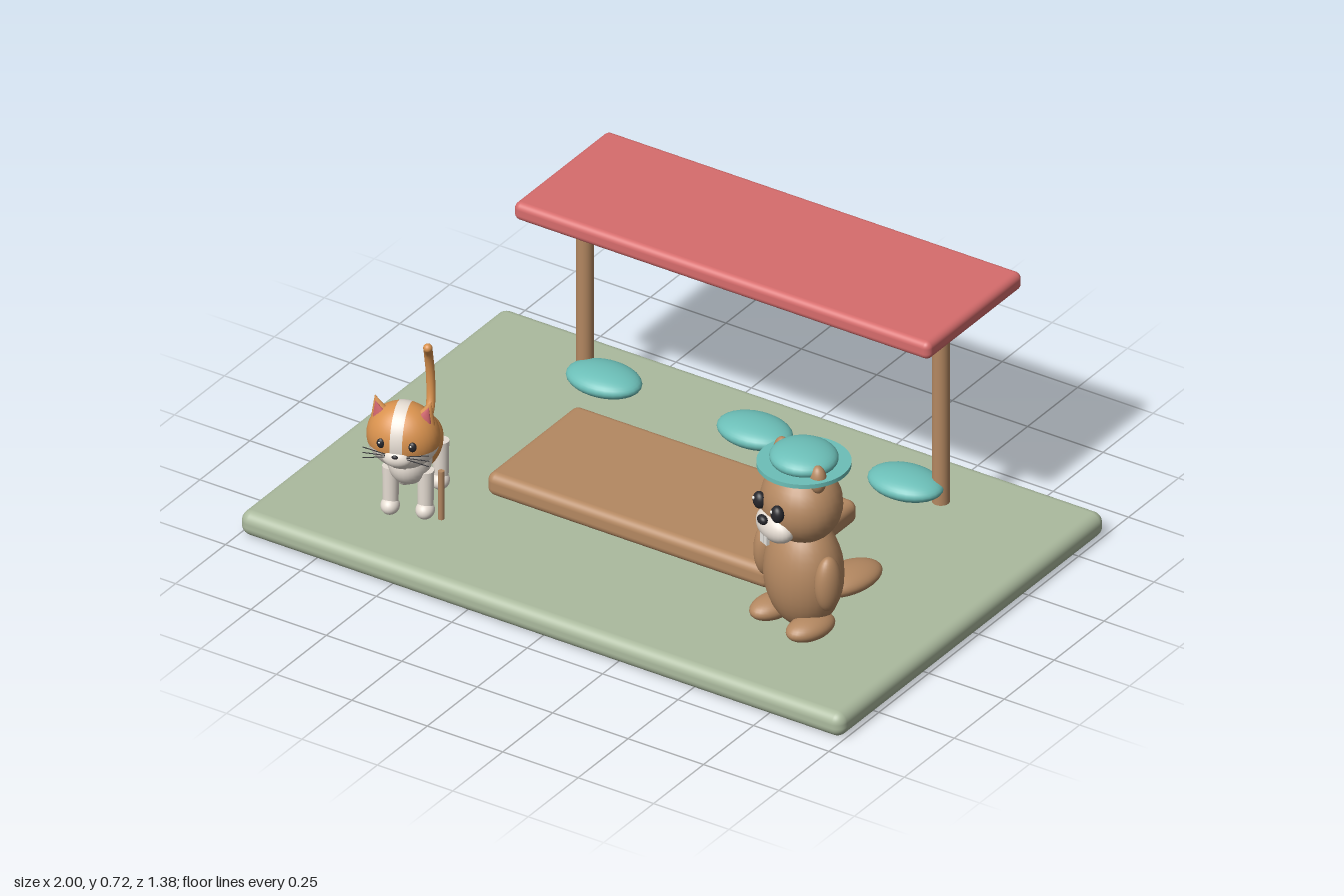
import * as THREE from 'three';
import { RoundedBoxGeometry } from 'three/addons/geometries/RoundedBoxGeometry.js';

const mat = (name, color) => {
  const m = new THREE.MeshStandardMaterial({ color });
  m.name = name;
  return m;
};

export function createModel() {
  const sage = mat('sage', 0xabba9e), red = mat('red', 0xd66c6c), teal = mat('teal', 0x6cbfb8);
  const brown = mat('brown', 0xb48861), orange = mat('orange', 0xd9924e), cream = mat('cream', 0xe6ddd3);
  const dark = mat('dark', 0x26262b), pink = mat('pink', 0xd0646c), white = mat('white', 0xf8f6f0);

  const model = new THREE.Group();
  model.name = 'stage';

  // Helpers
  const add = (parent, name, geo, material, x = 0, y = 0, z = 0) => {
    const m = new THREE.Mesh(geo, material);
    m.name = name;
    m.position.set(x, y, z);
    parent.add(m);
    return m;
  };
  const ball = (parent, name, material, [x, y, z], [rx, ry, rz]) =>
    add(parent, name, new THREE.SphereGeometry(1, 28, 20).scale(rx, ry, rz), material, x, y, z);
  const group = (parent, name, x, y, z, yaw) => {
    const g = new THREE.Group();
    g.name = name;
    g.position.set(x, y, z);
    g.rotation.y = yaw;
    parent.add(g);
    return g;
  };

  // Ground slab, low platform and canopy
  add(model, 'groundSlab', new RoundedBoxGeometry(2, 0.076, 1.33, 5, 0.032), sage, 0, 0.038, 0.025);
  add(model, 'platform', new RoundedBoxGeometry(0.94, 0.072, 0.455, 5, 0.026), brown, 0, 0.121, 0.025);
  add(model, 'canopy', new RoundedBoxGeometry(1.38, 0.056, 0.475, 5, 0.02), red, 0, 0.692, -0.455);
  for (const s of [-1, 1])
    add(model, 'post', new THREE.CylinderGeometry(0.025, 0.025, 0.575, 20), brown, s * 0.59, 0.3625, -0.43);
  for (const x of [-0.5, 0, 0.5])
    ball(model, 'cushion', teal, [x, 0.128, -0.39], [0.115, 0.037, 0.082]);
  add(model, 'stick', new THREE.CylinderGeometry(0.009, 0.009, 0.155, 10), brown, -0.51, 0.153, 0.41);

  // Seated animal with a hat
  const beaver = group(model, 'beaver', 0.645, 0, 0.34, -0.27);
  ball(beaver, 'body', brown, [0, 0.262, 0], [0.122, 0.172, 0.106]);
  ball(beaver, 'tail', brown, [0, 0.172, -0.16], [0.068, 0.036, 0.115]);
  for (const s of [-1, 1]) {
    ball(beaver, 'arm', brown, [s * 0.128, 0.283, 0.022], [0.034, 0.085, 0.042]);
    ball(beaver, 'foot', brown, [s * 0.077, 0.129, 0.042], [0.05, 0.034, 0.08]);
  }

  // Its head turns a little further than its body
  const head = group(beaver, 'head', 0, 0.49, 0.008, -0.15);
  ball(head, 'skull', brown, [0, 0, 0], [0.125, 0.118, 0.112]);
  ball(head, 'muzzle', cream, [0, -0.052, 0.085], [0.074, 0.047, 0.045]);
  ball(head, 'nose', dark, [0, -0.022, 0.128], [0.019, 0.014, 0.013]);
  for (const s of [-1, 1]) {
    ball(head, 'ear', brown, [s * 0.092, 0.115, 0.005], [0.027, 0.043, 0.024]);
    ball(head, 'eye', dark, [s * 0.046, 0.012, 0.108], [0.022, 0.026, 0.018]);
    ball(head, 'eyeGlint', white, [s * 0.046 - 0.006, 0.021, 0.124], [0.005, 0.005, 0.004]);
    add(head, 'tooth', new THREE.BoxGeometry(0.014, 0.03, 0.01), white, s * 0.009, -0.085, 0.12);
  }
  add(head, 'hatBrim', new THREE.CylinderGeometry(0.132, 0.132, 0.013, 40), teal, 0, 0.119, -0.008);
  ball(head, 'hatCrown', teal, [0, 0.138, -0.008], [0.1, 0.038, 0.095]);

  // Standing cat
  const cat = group(model, 'cat', -0.625, 0, 0.365, 0.33);
  ball(cat, 'body', orange, [0, 0.242, -0.03], [0.066, 0.066, 0.118]);
  ball(cat, 'chest', cream, [0, 0.245, 0.062], [0.062, 0.07, 0.075]);
  for (const s of [-1, 1]) for (const z of [-0.085, 0.08]) {
    add(cat, 'leg', new THREE.CylinderGeometry(0.024, 0.022, 0.125, 16), cream, s * 0.05, 0.165, z);
    ball(cat, 'paw', cream, [s * 0.05, 0.102, z + 0.006], [0.027, 0.026, 0.031]);
  }
  const tailPath = new THREE.CatmullRomCurve3([
    [0, 0.25, -0.125], [0, 0.29, -0.165], [-0.004, 0.37, -0.18], [-0.006, 0.45, -0.165], [0, 0.487, -0.135],
  ].map((p) => new THREE.Vector3(...p)));
  add(cat, 'tail', new THREE.TubeGeometry(tailPath, 28, 0.013, 12), orange);
  ball(cat, 'tailTip', orange, [0, 0.487, -0.135], [0.013, 0.013, 0.013]);

  // Two-tone head with a pale stripe over the crown
  const face = group(cat, 'catHead', 0, 0.365, 0.132, 0);
  const cut = 1.8, rim = [0.104, 0.099, 0.085];
  add(face, 'upperHead', new THREE.SphereGeometry(1, 32, 20, 0, Math.PI * 2, 0, cut).scale(...rim), orange);
  add(face, 'lowerHead', new THREE.SphereGeometry(1, 32, 12, 0, Math.PI * 2, cut, Math.PI - cut).scale(...rim), cream);
  add(face, 'stripe', new THREE.SphereGeometry(1.015, 48, 6, 0, Math.PI * 2, Math.PI / 2 - 0.17, 0.34)
    .rotateZ(Math.PI / 2).scale(...rim), cream);
  ball(face, 'muzzle', cream, [0, -0.036, 0.07], [0.042, 0.027, 0.025]);
  ball(face, 'nose', dark, [0, -0.02, 0.095], [0.009, 0.006, 0.005]);
  for (const s of [-1, 1]) {
    const ear = add(face, 'ear', new THREE.ConeGeometry(0.034, 0.07, 20).scale(1, 1, 0.55), orange, s * 0.07, 0.086, 0.005);
    ear.rotation.z = -s * 0.3;
    add(ear, 'innerEar', new THREE.ConeGeometry(0.024, 0.052, 20).scale(1, 1, 0.45), pink, 0, -0.004, 0.011);
    ball(face, 'eye', dark, [s * 0.045, 0.008, 0.075], [0.012, 0.015, 0.008]);
    ball(face, 'eyeGlint', white, [s * 0.045 - 0.003, 0.013, 0.0825], [0.003, 0.003, 0.002]);
    for (const k of [-1, 0, 1]) {
      const whisker = add(face, 'whisker', new THREE.CylinderGeometry(0.0014, 0.0014, 0.065, 6).rotateZ(Math.PI / 2),
        dark, s * 0.063, -0.024 + k * 0.011, 0.084);
      whisker.rotation.z = s * k * 0.2;
    }
  }
  return model;
}
